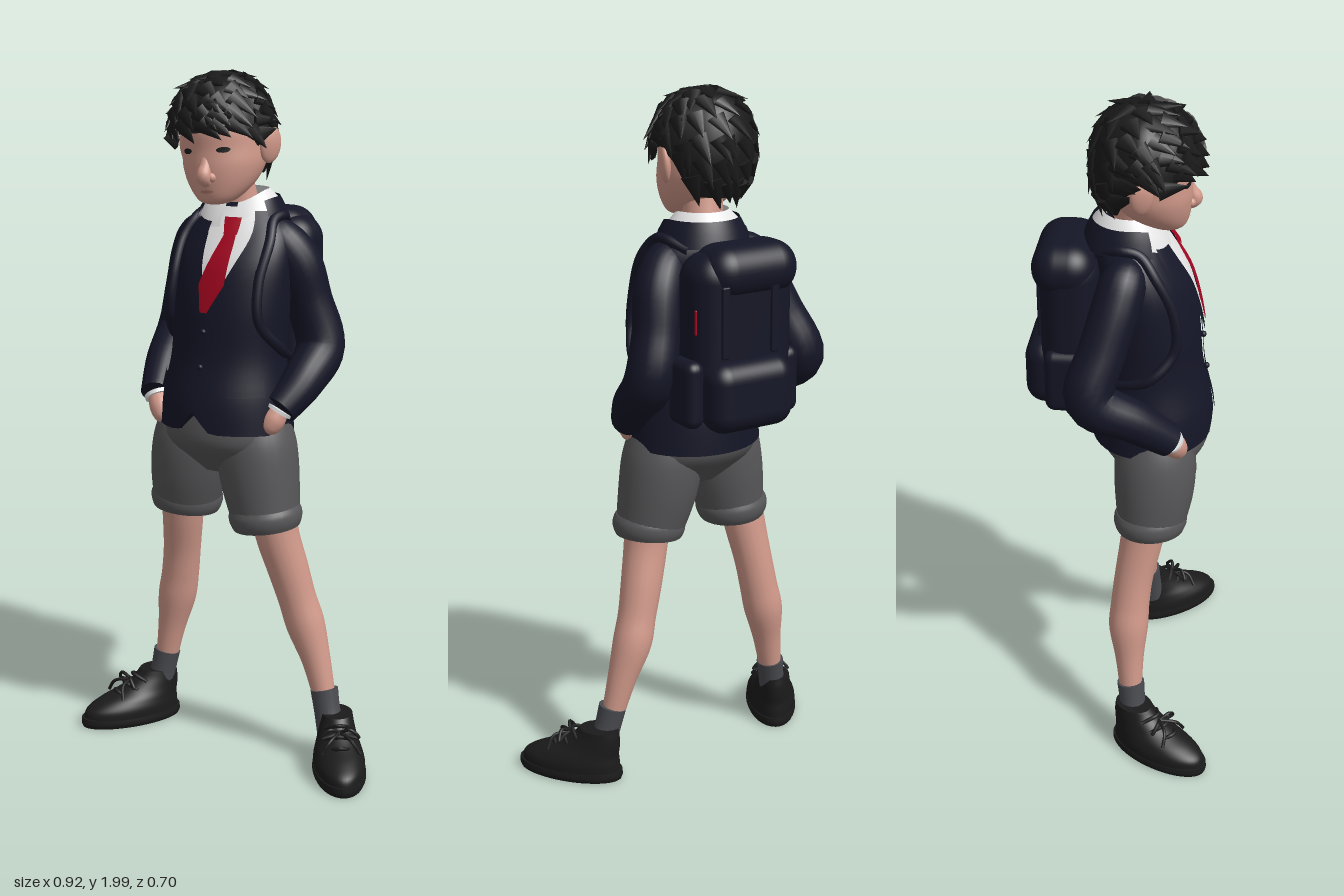
import * as THREE from 'three';
import { mergeGeometries } from 'three/addons/utils/BufferGeometryUtils.js';
import { RoundedBoxGeometry } from 'three/addons/geometries/RoundedBoxGeometry.js';

const V = (x, y, z) => new THREE.Vector3(x, y, z);
const mat = (name, color, side = THREE.FrontSide) => {
  const m = new THREE.MeshStandardMaterial({ color, side });
  m.name = name;
  return m;
};
const YAW = -0.4; // the body is turned to its right

// Catmull-Rom refinement of a short table of cross-sections
function dense(rows, k = 6) {
  const at = i => rows[Math.min(Math.max(i, 0), rows.length - 1)], out = [];
  for (let i = 0; i < rows.length - 1; i++) for (let s = 0; s < k; s++) {
    const t = s / k;
    out.push(at(i).map((p1, c) => {
      const p0 = at(i - 1)[c], p2 = at(i + 1)[c], p3 = at(i + 2)[c];
      return p1 + 0.5 * t * (p2 - p0 + t * (2 * p0 - 5 * p1 + 4 * p2 - p3 + t * (3 * (p1 - p2) + p3 - p0)));
    }));
  }
  out.push(at(rows.length - 1));
  return out;
}

// Surface through rows of points, optionally closed around and capped
function skin(rows, wrap = true, caps = wrap) {
  const n = rows[0].length, pts = rows.flat(), idx = [];
  for (let i = 0; i < rows.length - 1; i++) for (let j = 0; j < (wrap ? n : n - 1); j++) {
    const a = i * n + j, b = i * n + (j + 1) % n;
    idx.push(a, b, b + n, a, b + n, a + n);
  }
  if (caps) [rows[0], rows[rows.length - 1]].forEach((ring, end) => {
    const base = pts.length;
    const mid = ring.reduce((s, p) => s.add(p), V(0, 0, 0)).divideScalar(n);
    pts.push(...ring, mid);
    for (let j = 0; j < n; j++) {
      const a = base + j, b = base + (j + 1) % n;
      idx.push(base + n, end ? a : b, end ? b : a);
    }
  });
  const g = new THREE.BufferGeometry().setFromPoints(pts);
  g.setIndex(idx);
  g.computeVertexNormals();
  return g;
}

// Round limb through [x, y, z, radius] stations
function limb(stations, n = 20) {
  const d = dense(stations), c = d.map(s => V(s[0], s[1], s[2]));
  return skin(c.map((p, i) => {
    const T = c[Math.min(i + 1, c.length - 1)].clone().sub(c[Math.max(i - 1, 0)]).normalize();
    const N = V(1, 0, 0).addScaledVector(T, -T.x).normalize(), B = T.clone().cross(N);
    return Array.from({ length: n }, (_, j) => {
      const a = j / n * Math.PI * 2;
      return p.clone().addScaledVector(N, d[i][3] * Math.cos(a)).addScaledVector(B, d[i][3] * Math.sin(a));
    });
  }));
}

// Upright body of oval rings [y, cx, cz, halfWidth, halfDepth]; at(u, y) finds its surface, u = 0 at the front
function oval(table, yaw = 0) {
  const rings = dense(table);
  const at = (u, y, off = 0) => {
    let i = 0;
    while (i < rings.length - 2 && rings[i + 1][0] < y) i++;
    const t = THREE.MathUtils.clamp((y - rings[i][0]) / (rings[i + 1][0] - rings[i][0]), 0, 1);
    const [, cx, cz, w, d] = rings[i].map((v, c) => v + (rings[i + 1][c] - v) * t);
    const x = (w + off) * Math.sin(u), z = (d + off) * Math.cos(u);
    return V(cx + x * Math.cos(yaw) + z * Math.sin(yaw), y, cz - x * Math.sin(yaw) + z * Math.cos(yaw));
  };
  const geo = (hem = () => 0, n = 48) => skin(rings.map((r, i) => Array.from({ length: n }, (_, j) => {
    const u = (j / n - 0.5) * Math.PI * 2, p = at(u, r[0]);
    p.y += hem(u) * Math.max(0, 1 - i / 5);
    return p;
  })));
  // Thin plate lying on the surface; span(t) gives its two angles at height t
  const plate = (y0, y1, span, off, m = 14) => skin(Array.from({ length: m + 1 }, (_, i) => {
    const t = i / m, [a, b] = span(t);
    return Array.from({ length: 11 }, (_, j) => at(a + (b - a) * j / 10, y0 + (y1 - y0) * t, off));
  }), false);
  return { at, geo, plate };
}

export function createModel() {
  const M = {
    jacket: mat('navy jacket', 0x151627, THREE.DoubleSide), pack: mat('dark blue pack', 0x151626),
    hair: mat('black hair', 0x1a1a1a, THREE.DoubleSide), skin: mat('skin', 0xd29a8b),
    lip: mat('lip', 0xb47a6c), shorts: mat('grey shorts', 0x575759), sock: mat('dark grey sock', 0x4a4b50),
    shoe: mat('black shoe', 0x1b1b1b), shirt: mat('white shirt', 0xececec, THREE.DoubleSide),
    red: mat('red tie', 0xa3051f, THREE.DoubleSide),
  };
  const model = new THREE.Group();
  const add = (name, geo, m, parent = model) => {
    const mesh = new THREE.Mesh(geo, m);
    mesh.name = name;
    parent.add(mesh);
    return mesh;
  };
  const group = (name, x, y, z, yaw) => {
    const g = new THREE.Group();
    g.name = name;
    g.position.set(x, y, z);
    g.rotation.y = yaw;
    model.add(g);
    return g;
  };
  const tube = (pts, r, n = 40) => new THREE.TubeGeometry(new THREE.CatmullRomCurve3(pts), n, r, 8);

  // Jacket body with the front hem cut away
  const torso = oval([[0.985, 0, 0.003, 0.202, 0.175], [1.08, 0, 0.003, 0.192, 0.17], [1.2, 0.005, 0, 0.174, 0.148],
    [1.34, 0.012, -0.005, 0.178, 0.142], [1.46, 0.02, -0.02, 0.18, 0.13], [1.54, 0.03, -0.04, 0.165, 0.11],
    [1.59, 0.036, -0.05, 0.125, 0.09], [1.63, 0.04, -0.055, 0.08, 0.07]], YAW);
  add('jacketBody', torso.geo(u => 0.06 * Math.exp(-((u / 0.16) ** 2)) + 0.008 * Math.cos(u)), M.jacket);
  add('jacketClosure', torso.plate(1.05, 1.35, () => [-0.02, 0.13], 0.005), M.jacket);
  const mid = t => 0.06 + 0.2 * t, vee = t => 0.03 + 0.52 * t;
  add('shirtFront', torso.plate(1.335, 1.62, t => [mid(t) - vee(t), mid(t) + vee(t)], 0.007), M.shirt);
  for (const s of [-1, 1]) {
    add('lapel', torso.plate(1.3, 1.61, t => {
      const a = vee(t) - 0.03, b = a + 0.05 + 0.42 * Math.min(t / 0.65, 1);
      return s > 0 ? [mid(t) + a, mid(t) + b] : [mid(t) - b, mid(t) - a];
    }, 0.012), M.jacket);
    add('pocketFlap', torso.plate(1.1, 1.145, () => [s * 0.85 - 0.3, s * 0.85 + 0.3], 0.006), M.jacket);
  }
  for (const y of [1.18, 1.28]) {
    const b = add('button', new THREE.SphereGeometry(0.009, 12, 8), M.jacket);
    b.position.copy(torso.at(0.06, y, 0.006));
  }

  // Tie blade and knot
  add('tieBlade', torso.plate(1.335, 1.56, t => {
    const c = 0.06 + 0.2 * t, w = t < 0.35 ? 0.06 + 0.42 * t : 0.207 - 0.11 * (t - 0.35) / 0.65;
    return [c - w, c + w];
  }, 0.016, 20), M.red);
  add('tieKnot', torso.plate(1.55, 1.595, t => [0.16 - 0.07 * t, 0.38 + 0.07 * t], 0.024), M.red);

  // Folded shirt collar open at the front, jacket collar around the back
  const band = (start, shift, rows) => skin(rows.map(([r, yBack, yFront]) => Array.from({ length: 41 }, (_, j) => {
    const u = start + (Math.PI * 2 - 2 * start) * j / 40, f = Math.max(0, Math.cos(u)) ** 2;
    return V(0.034 + r * Math.sin(u + YAW + shift), yBack + (yFront - yBack) * f, -0.05 + r * Math.cos(u + YAW + shift));
  })), false);
  add('shirtCollar', band(0.22, 0.2, [[0.122, 1.595, 1.53], [0.105, 1.635, 1.585], [0.076, 1.665, 1.63]]), M.shirt);
  add('jacketCollar', band(1.1, 0.1, [[0.135, 1.575, 1.55], [0.122, 1.615, 1.59], [0.106, 1.645, 1.61]]), M.jacket);
  add('neck', limb([[0.035, 1.56, -0.055, 0.062], [0.02, 1.64, -0.045, 0.056], [0, 1.73, -0.03, 0.06]]), M.skin);

  // Sleeves, shirt cuffs and hands in the pockets
  const arms = {
    left: [[[0.1, 1.555, -0.015, 0.03], [0.145, 1.53, -0.01, 0.06], [0.198, 1.46, -0.02, 0.07], [0.23, 1.35, -0.035, 0.068],
      [0.265, 1.22, -0.035, 0.071], [0.228, 1.13, 0.045, 0.061], [0.175, 1.06, 0.105, 0.05]], [0.14, 1.0, 0.12]],
    right: [[[-0.06, 1.555, -0.09, 0.03], [-0.1, 1.525, -0.11, 0.062], [-0.13, 1.46, -0.14, 0.068], [-0.163, 1.35, -0.19, 0.067],
      [-0.195, 1.22, -0.237, 0.071], [-0.213, 1.14, -0.12, 0.06], [-0.215, 1.06, -0.015, 0.049]], [-0.182, 0.995, 0.025]],
  };
  for (const [side, [path, tip]] of Object.entries(arms)) {
    const w = path[path.length - 1], mix = t => tip.map((v, i) => w[i] + (v - w[i]) * t);
    add(side + 'Sleeve', limb(path), M.jacket);
    add(side + 'Cuff', limb([[...w.slice(0, 3), 0.039], [...mix(0.14), 0.038]]), M.shirt);
    add(side + 'Hand', limb([[...mix(0.1), 0.029], [...mix(0.5), 0.034], [...mix(0.9), 0.028], [...mix(1.1), 0.015]]), M.skin);
  }

  // Shorts with turned-up hems
  const pelvis = oval([[0.86, -0.005, 0.01, 0.1, 0.07], [0.9, -0.005, 0.01, 0.16, 0.11], [0.96, -0.005, 0.008, 0.195, 0.155],
    [1.05, 0, 0.003, 0.182, 0.155]], YAW);
  add('shortsSeat', pelvis.geo(), M.shorts);
  const shortLegs = {
    left: [[0.085, 1.02, 0.035, 0.1], [0.094, 0.94, 0.044, 0.117], [0.108, 0.84, 0.053, 0.115], [0.13, 0.72, 0.07, 0.098]],
    right: [[-0.085, 1.02, -0.025, 0.1], [-0.105, 0.94, -0.022, 0.117], [-0.121, 0.84, -0.03, 0.115], [-0.135, 0.73, -0.045, 0.098]],
  };
  for (const [side, path] of Object.entries(shortLegs)) {
    const [x, y, z] = path[3], lean = side === 'left' ? 0.12 : -0.1;
    add(side + 'ShortsLeg', limb(path, 28), M.shorts);
    add(side + 'Hem', limb([0.097, 0.104, 0.107, 0.106, 0.1].map((r, i) => [x - lean * (i - 1) * 0.015, y - 0.018 + i * 0.015, z, r]), 28), M.shorts);
  }

  // Bare legs and socks
  add('leftLeg', limb([[0.145, 0.78, 0.06, 0.068], [0.16, 0.68, 0.06, 0.064], [0.193, 0.57, 0.053, 0.06], [0.22, 0.48, 0.05, 0.056],
    [0.246, 0.4, 0.05, 0.057], [0.28, 0.3, 0.062, 0.043], [0.306, 0.2, 0.075, 0.034]]), M.skin);
  add('rightLeg', limb([[-0.15, 0.78, -0.06, 0.066], [-0.155, 0.68, -0.08, 0.062], [-0.164, 0.57, -0.105, 0.057], [-0.174, 0.48, -0.12, 0.057],
    [-0.187, 0.4, -0.13, 0.058], [-0.205, 0.3, -0.133, 0.043], [-0.222, 0.2, -0.135, 0.034]]), M.skin);
  add('leftSock', limb([[0.335, 0.09, 0.1, 0.043], [0.32, 0.15, 0.088, 0.039], [0.308, 0.215, 0.077, 0.041]]), M.sock);
  add('rightSock', limb([[-0.25, 0.09, -0.13, 0.043], [-0.235, 0.15, -0.133, 0.039], [-0.222, 0.215, -0.135, 0.041]]), M.sock);

  // Laced shoes
  const upper = oval([[0.02, 0, 0, 0.074, 0.155], [0.05, 0, -0.004, 0.074, 0.15], [0.075, 0, -0.024, 0.067, 0.128],
    [0.1, 0, -0.058, 0.057, 0.097], [0.13, 0, -0.083, 0.05, 0.072], [0.155, 0, -0.093, 0.046, 0.058]]);
  const sole = oval([[0, 0, 0, 0.072, 0.159], [0.012, 0, 0, 0.077, 0.163], [0.028, 0, 0, 0.076, 0.162]]);
  for (const [side, x, z, yaw] of [['left', 0.372, 0.187, 0.25], ['right', -0.325, -0.076, -0.9]]) {
    const shoe = group(side + 'Shoe', x, 0, z, yaw);
    add('shoeUpper', upper.geo(), M.shoe, shoe);
    add('shoeSole', sole.geo(), M.shoe, shoe);
    for (const t of [0, 1, 2]) {
      const y = 0.094 + 0.022 * t, q = 0.052 - 0.03 * t;
      add('lace', tube([V(-0.04, y - 0.012, q - 0.03), V(0, y + 0.008, q), V(0.04, y - 0.012, q - 0.03)], 0.006, 12), M.shoe, shoe);
    }
    for (const s of [-1, 1]) {
      add('laceBow', tube([V(0, 0.13, 0), V(s * 0.03, 0.143, 0.015), V(s * 0.055, 0.118, 0.012), V(s * 0.03, 0.122, 0.01), V(0, 0.13, 0)], 0.005), M.shoe, shoe);
      add('laceEnd', tube([V(0, 0.13, 0), V(s * 0.03, 0.12, 0.04), V(s * 0.055, 0.085, 0.05)], 0.005, 12), M.shoe, shoe);
    }
  }

  // Backpack
  const pack = group('backpack', 0.095, 0, -0.19, YAW);
  const box = (name, w, h, d, x, y, z, r, m = M.pack) =>
    add(name, new RoundedBoxGeometry(w, h, d, 6, r), m, pack).position.set(x, y, z);
  box('packBody', 0.32, 0.48, 0.17, -0.01, 1.34, -0.005, 0.075);
  box('packLid', 0.29, 0.15, 0.18, -0.03, 1.525, -0.02, 0.073);
  box('packFrontPocket', 0.27, 0.2, 0.12, 0, 1.19, -0.08, 0.055);
  for (const s of [-1, 1]) {
    box('packSidePocket', 0.06, 0.19, 0.12, s * 0.155, 1.2, -0.015, 0.028);
    box('packLidStrap', 0.025, 0.2, 0.012, s * 0.08, 1.4, -0.095, 0.005);
  }
  box('packRedTrim', 0.012, 0.07, 0.008, 0.141, 1.4, -0.045, 0.003, M.red);
  for (const s of [-1, 1]) {
    const path = [[2.5, 1.57], [1.7, 1.595], [1.2, 1.585], [0.98, 1.53], [0.88, 1.42], [0.98, 1.31], [1.5, 1.23], [2.4, 1.18]];
    add('shoulderStrap', tube(path.map(([u, y]) => torso.at(s * u, y, 0.008)), 0.015, 60), M.pack);
  }

  // Head and face
  const head = group('head', -0.012, 1.8, -0.02, -0.3);
  head.rotation.z = 0.08;
  const skull = oval([[-0.172, 0, 0.065, 0.02, 0.02], [-0.16, 0, 0.058, 0.055, 0.052], [-0.12, 0, 0.03, 0.093, 0.092],
    [-0.07, 0, 0.01, 0.116, 0.117], [-0.02, 0, 0, 0.121, 0.124], [0.05, 0, 0, 0.117, 0.122],
    [0.11, 0, -0.005, 0.08, 0.085], [0.145, 0, -0.01, 0.03, 0.03]]);
  add('face', skull.geo(), M.skin, head);
  add('nose', limb([[0, -0.03, 0.106, 0.014], [0, -0.065, 0.119, 0.018], [0, -0.09, 0.132, 0.021], [0, -0.106, 0.115, 0.018]]), M.skin, head);
  const lens = (c, w) => t => {
    const h = w * Math.sqrt(Math.max(0, 1 - (2 * t - 1) ** 2));
    return [c - h, c + h];
  };
  add('mouth', skull.plate(-0.138, -0.128, lens(0, 0.24), 0.003), M.lip, head);
  for (const s of [-1, 1]) {
    add('eye', skull.plate(-0.028, -0.012, lens(s * 0.48, 0.16), 0.003), M.hair, head);
    const nostril = add('nostril', new THREE.SphereGeometry(0.014, 14, 10), M.skin, head);
    nostril.position.set(s * 0.018, -0.094, 0.12);
    const ear = add('ear', new THREE.SphereGeometry(1, 20, 14), M.skin, head);
    ear.scale.set(0.016, 0.052, 0.034);
    ear.position.set(s * 0.138, -0.018, -0.012);
    ear.rotation.set(-0.15, -s * 0.45, -s * 0.2);
  }

  // Hair cap with overlapping pointed tufts
  const hairAt = (u, v) => {
    const a = Math.abs(Math.atan2(Math.sin(u), Math.cos(u))), back = THREE.MathUtils.smoothstep(a, 1.65, 2.3);
    const edge = 0.03 - 0.13 * back - 0.04 * Math.exp(-(((a - 1.2) / 0.16) ** 2));
    const r = Math.sin(v * Math.PI / 2) ** (0.8 - 0.15 * back) * (1 - 0.3 * back * v ** 6);
    return V(-0.004 + 0.15 * r * Math.sin(u), 0.182 - (0.182 - edge) * (1 - Math.cos(v * Math.PI / 2)), -0.008 + 0.157 * r * Math.cos(u));
  };
  add('hairCap', skin(Array.from({ length: 17 }, (_, i) => Array.from({ length: 48 }, (_, j) =>
    hairAt(j / 48 * Math.PI * 2, 1 - i / 16.01))), true, false), M.hair, head);
  let seed = 7;
  const rnd = () => (seed = (seed * 16807) % 2147483647) / 2147483647;
  const tufts = [];
  for (const [v, count] of [[0.12, 6], [0.3, 9], [0.48, 12], [0.65, 15], [0.8, 17], [0.93, 20]])
    for (let k = 0; k < count; k++) {
      const u = (k + rnd() * 0.7) / count * Math.PI * 2, p = hairAt(u, v), len = 0.065 + 0.03 * rnd();
      const out = V(p.x, p.y * 0.8, p.z + 0.01).normalize();
      const dir = hairAt(u + 0.12, Math.min(v + 0.08, 1)).sub(p).normalize().addScaledVector(out, 0.1 + 0.2 * rnd()).normalize();
      const side = dir.clone().cross(out).normalize();
      const g = new THREE.ConeGeometry(0.03, len, 8).scale(1, 1, 0.45).translate(0, len * 0.25, 0);
      g.applyMatrix4(new THREE.Matrix4().makeBasis(side, dir, side.clone().cross(dir)).setPosition(p));
      tufts.push(g);
    }
  add('hairTufts', mergeGeometries(tufts), M.hair, head);
  return model;
}
